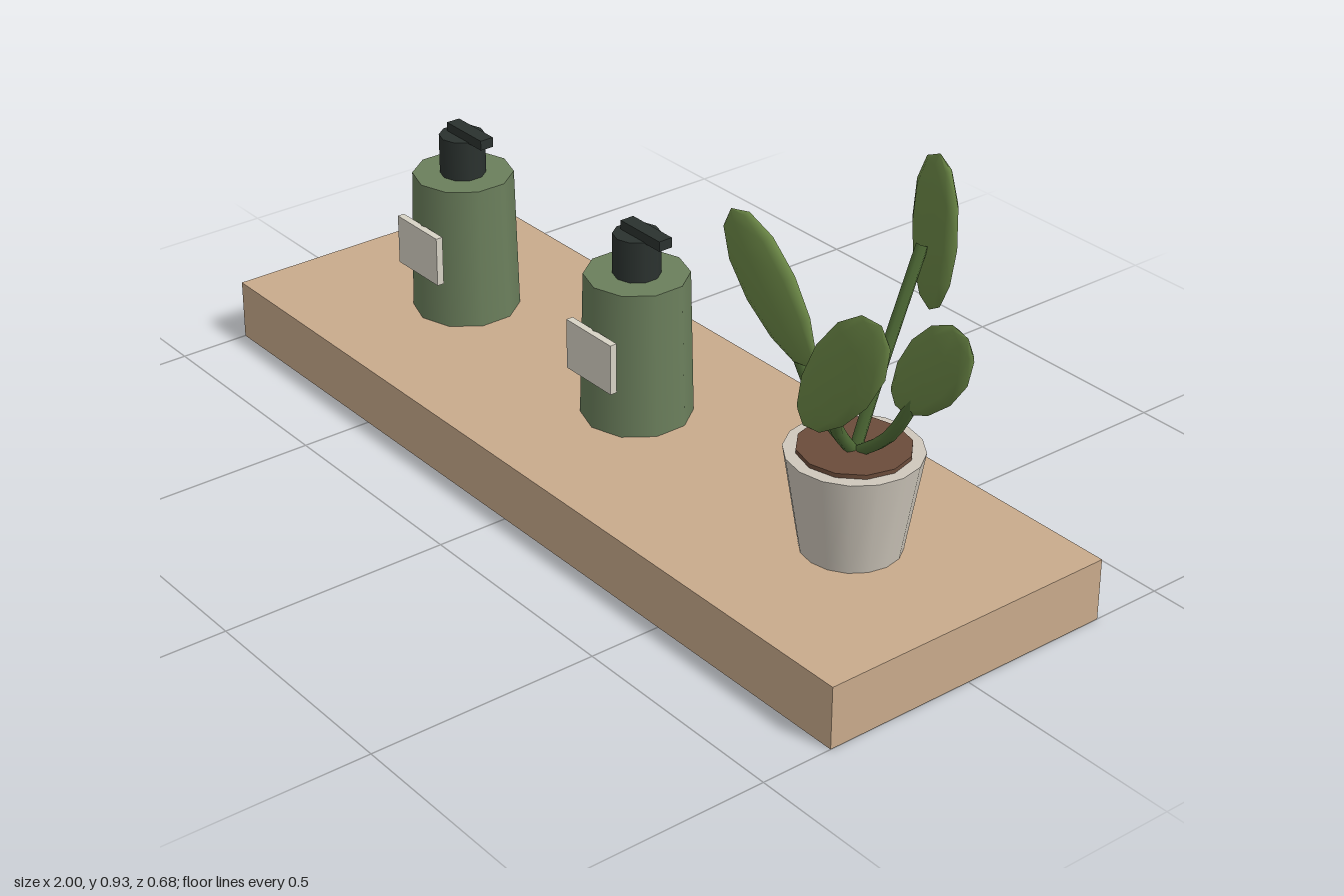
import * as THREE from 'three';

const V = (x, y, z) => new THREE.Vector3(x, y, z);
const mat = (color) => new THREE.MeshStandardMaterial({ color });

const wood = mat(0xc9ab8c), bottleGreen = mat(0x6b7f5c), dark = mat(0x2b322f);
const paper = mat(0xd8d3c6), clay = mat(0xcfc8bc), earth = mat(0x6b4c3a);
const leafGreen = mat(0x6b8746), stemGreen = mat(0x4f6b36);

function add(parent, name, geometry, material, x = 0, y = 0, z = 0) {
  const mesh = new THREE.Mesh(geometry, material);
  mesh.name = name;
  mesh.position.set(x, y, z);
  parent.add(mesh);
  return mesh;
}

// Pump bottle with a label on the front and the spout pointing to +x
function pumpBottle(x) {
  const g = new THREE.Group();
  g.name = 'pumpBottle';
  g.position.set(x, 0.135, 0);
  add(g, 'bottleBody', new THREE.CylinderGeometry(0.11, 0.118, 0.32, 10), bottleGreen, 0, 0.16, 0);
  add(g, 'pumpNeck', new THREE.CylinderGeometry(0.05, 0.05, 0.09, 10), dark, 0, 0.365, 0);
  add(g, 'pumpSpout', new THREE.BoxGeometry(0.125, 0.022, 0.032), dark, 0.03, 0.419, 0);
  add(g, 'label', new THREE.BoxGeometry(0.146, 0.112, 0.016), paper, 0, 0.167, 0.117);
  return g;
}

// Low-poly leaf blade between two points, thin along the facing direction
function leafBlade(parent, base, tip, width, thickness, facing) {
  const length = base.distanceTo(tip);
  const geo = new THREE.SphereGeometry(1, 8, 6);
  const p = geo.attributes.position;
  for (let i = 0; i < p.count; i++) {
    // fuller towards the tip
    const y = p.getY(i), w = 1 + 0.12 * y;
    p.setXYZ(i, p.getX(i) * w * width / 2, y * length / 2, p.getZ(i) * thickness / 2);
  }
  geo.computeVertexNormals();
  const axis = tip.clone().sub(base).normalize();
  const side = axis.clone().cross(facing).normalize();
  const mesh = add(parent, 'leafBlade', geo, leafGreen);
  mesh.position.copy(base).lerp(tip, 0.5);
  mesh.quaternion.setFromRotationMatrix(
    new THREE.Matrix4().makeBasis(side, axis, side.clone().cross(axis)));
}

// Pot, soil and four stemmed leaves
function pottedPlant() {
  const g = new THREE.Group();
  g.name = 'pottedPlant';
  add(g, 'pot', new THREE.CylinderGeometry(0.137, 0.102, 0.213, 16), clay, 0.665, 0.2415, 0);
  add(g, 'soil', new THREE.CylinderGeometry(0.113, 0.113, 0.03, 12), earth, 0.665, 0.342, 0);

  const leaves = [
    { base: V(0.675, 0.595, -0.168), tip: V(0.69, 0.925, -0.163), width: 0.15, thick: 0.042,
      facing: V(-0.17, 0, 1), stem: [V(0.672, 0.5, -0.05), V(0.675, 0.74, -0.143)] },
    { base: V(0.645, 0.548, 0.1), tip: V(0.445, 0.808, 0.128), width: 0.15, thick: 0.036,
      facing: V(0.12, 0, 1), stem: [V(0.635, 0.45, 0.065), V(0.565, 0.65, 0.105)] },
    { base: V(0.682, 0.46, 0.147), tip: V(0.853, 0.73, 0.12), width: 0.15, thick: 0.036,
      facing: V(0.12, 0, 1), stem: [V(0.69, 0.43, 0.07), V(0.755, 0.57, 0.13)] },
    { base: V(0.77, 0.49, 0), tip: V(0.95, 0.705, 0), width: 0.14, thick: 0.036,
      facing: V(0, 0, 1), stem: [V(0.76, 0.42, 0), V(0.855, 0.59, 0)] },
  ];
  for (const l of leaves) {
    const leaf = new THREE.Group();
    leaf.name = 'leaf';
    const path = new THREE.CatmullRomCurve3([V(0.665, 0.34, 0), ...l.stem]);
    add(leaf, 'stem', new THREE.TubeGeometry(path, 8, 0.013, 6), stemGreen);
    leafBlade(leaf, l.base, l.tip, l.width, l.thick, l.facing);
    g.add(leaf);
  }
  return g;
}

export function createModel() {
  const model = new THREE.Group();
  model.name = 'shelfWithBottlesAndPlant';
  add(model, 'shelf', new THREE.BoxGeometry(2, 0.135, 0.683), wood, 0, 0.0675, 0);
  for (const x of [-0.61, 0]) model.add(pumpBottle(x));
  model.add(pottedPlant());
  return model;
}
